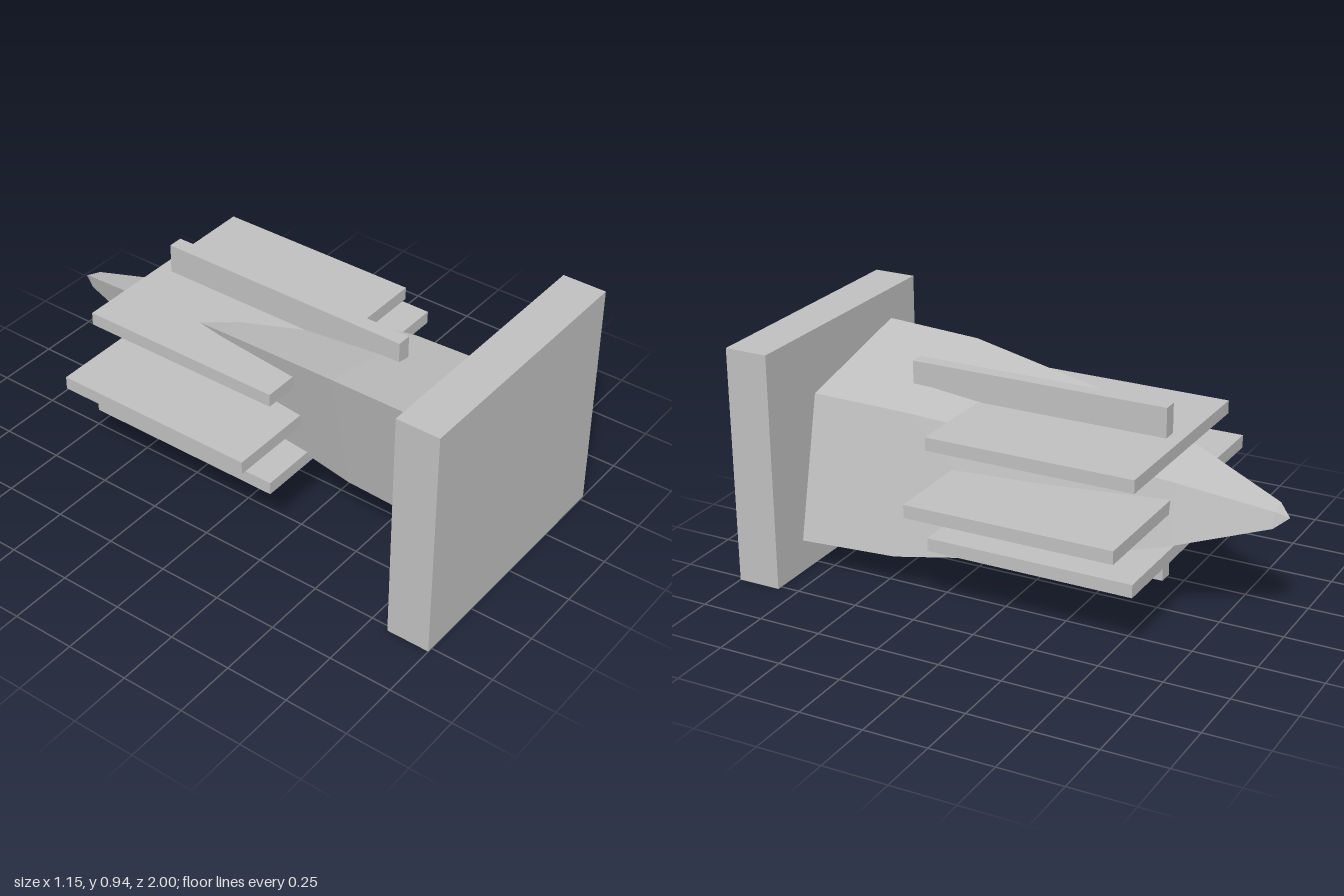
import * as THREE from 'three';

export function createModel() {
  const model = new THREE.Group();
  const grey = new THREE.MeshStandardMaterial({ color: 0xbfbfbf, flatShading: true });
  const midY = 0.47;

  const box = (name, w, h, d, y, z) => {
    const mesh = new THREE.Mesh(new THREE.BoxGeometry(w, h, d), grey);
    mesh.name = name;
    mesh.position.set(0, y, z);
    model.add(mesh);
  };

  // Square base slab at the front
  box('baseSlab', 1.04, 0.936, 0.172, 0.468, 0.914);

  // Three horizontal fins, the middle one wider
  for (const [name, width, y] of [
    ['upperFin', 0.83, 0.668],
    ['middleFin', 1.15, midY],
    ['lowerFin', 0.83, 0.272],
  ]) box(name, width, 0.051, 0.82, y, -0.177);

  // Upright fin through the body
  box('uprightFin', 0.058, 0.68, 1.04, midY, -0.012);

  // Tapered spike: a rhombus section [x, y], scaled along z
  const section = [[-1, 1], [0.63, 0.63], [1, -1], [-0.63, -0.63]];
  const stations = [[0.84, 0.343], [0.43, 0.328], [-0.12, 0.25], [-0.6, 0.139], [-0.95, 0.037], [-1, 0]];
  const corner = (s, i) => {
    const [z, r] = stations[s];
    const [x, y] = section[i % 4];
    return [x * r, midY + y * r, z];
  };
  const points = [];
  for (let s = 0; s < stations.length - 1; s++) {
    const tip = s === stations.length - 2;
    for (let i = 0; i < 4; i++) {
      const a = corner(s, i), b = corner(s, i + 1);
      const c = corner(s + 1, i + 1), d = corner(s + 1, i);
      points.push(...a, ...b, ...c);
      if (!tip) points.push(...a, ...c, ...d);
    }
  }
  // Cap hidden in the slab
  for (const i of [0, 2, 1, 0, 3, 2]) points.push(...corner(0, i));
  const geometry = new THREE.BufferGeometry();
  geometry.setAttribute('position', new THREE.Float32BufferAttribute(points, 3));
  geometry.computeVertexNormals();
  const spike = new THREE.Mesh(geometry, grey);
  spike.name = 'taperedSpike';
  model.add(spike);

  grey.name = 'plainGrey';
  return model;
}
